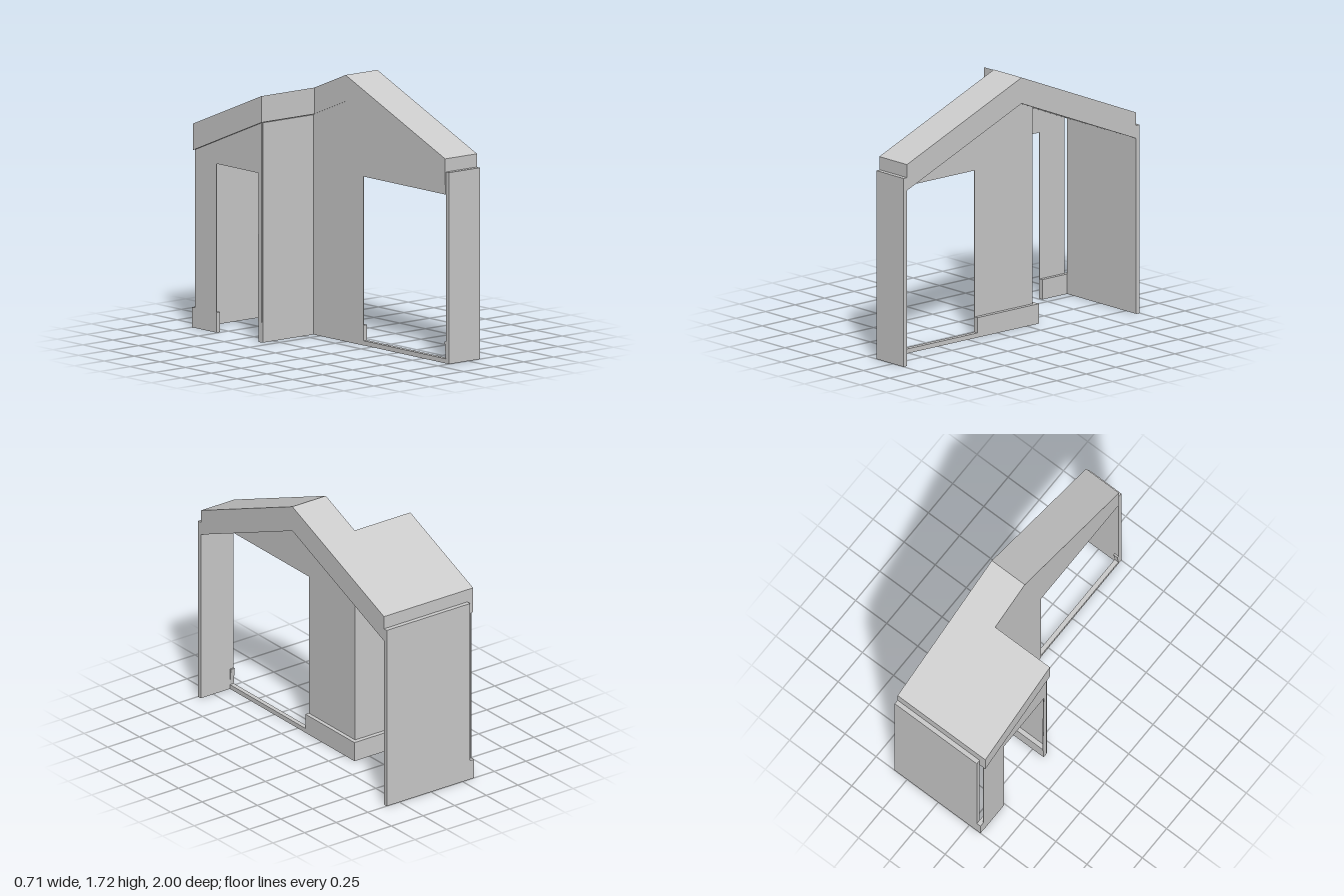
import * as THREE from 'three';

const material = new THREE.MeshStandardMaterial({ color: 0xcccccc, flatShading: true, side: THREE.DoubleSide });

// Heights of the roof's top and underside at depth z
const roofTop = (z) => 1.72 - Math.abs(z) * 0.412;
const roofUnder = (z) => 1.55 - Math.abs(z) * 0.412;

export function createModel() {
  const model = new THREE.Group();

  function add(name, geometry) {
    const mesh = new THREE.Mesh(geometry, material);
    mesh.name = name;
    model.add(mesh);
  }

  // Box given by its limits on each axis
  function box(name, [x0, x1], [y0, y1], [z0, z1]) {
    const g = new THREE.BoxGeometry(x1 - x0, y1 - y0, z1 - z0);
    g.translate((x0 + x1) / 2, (y0 + y1) / 2, (z0 + z1) / 2);
    add(name, g);
  }

  // Side profile of (z, y) points, extruded across x
  function profile(name, [x0, x1], points) {
    const shape = new THREE.Shape(points.map(([z, y]) => new THREE.Vector2(z, y)));
    const g = new THREE.ExtrudeGeometry(shape, { depth: x1 - x0, bevelEnabled: false });
    g.rotateY(-Math.PI / 2);
    g.translate(x1, 0, 0);
    add(name, g);
  }

  // Gabled roof band and the wider slab over the rear corner
  const eave = 0.97, slabFront = -0.305;
  profile('gableRoof', [0.085, 0.35], [
    [-eave, roofUnder(eave)], [0, roofUnder(0)], [eave, roofUnder(eave)],
    [eave, roofTop(eave)], [0, roofTop(0)], [-eave, roofTop(eave)],
  ]);
  profile('rearRoofSlab', [-0.355, 0.085], [
    [-eave, roofUnder(eave)], [slabFront, roofUnder(slabFront)],
    [slabFront, roofTop(slabFront)], [-eave, roofTop(eave)],
  ]);

  // End walls below the eaves
  box('frontWall', [0.09, 0.35], [0, 1.235], [0.97, 1]);
  box('backWall', [-0.31, 0.35], [0, 1.235], [-1, -0.97]);

  // Thin side wall with the large window opening
  profile('sideWall', [0.087, 0.093], [
    [-0.32, 0], [0.17, 0], [0.17, 1.09], [eave, 1.09],
    [eave, roofUnder(eave)], [0, roofUnder(0)], [-0.32, roofUnder(0.32)],
  ]);

  // Wall returning from the side wall to the outer wall
  box('returnWall', [-0.337, 0.093], [0, roofUnder(0.32)], [-0.32, -0.314]);

  // Outer wall around the doorway
  profile('doorWall', [-0.341, -0.335], [
    [-eave, 0], [-0.76, 0], [-0.76, 1.09], [-0.35, 1.09], [-0.358, 0.13], [-0.32, 0.13],
    [-0.32, roofUnder(0.32)], [-eave, roofUnder(eave)],
  ]);

  // Skirting and window sill
  box('sideSkirting', [0.09, 0.12], [0, 0.13], [-0.35, 0.17]);
  box('returnSkirting', [-0.34, 0.09], [0, 0.13], [-0.35, -0.32]);
  box('cornerSkirting', [-0.34, -0.31], [0, 0.13], [-1, -0.76]);
  box('windowSill', [0.09, 0.12], [0, 0.03], [0.17, 0.97]);
  profile('skirtingEnd', [0.09, 0.12], [[0.97, 0.03], [0.958, 0.14], [0.97, 0.14]]);

  return model;
}
